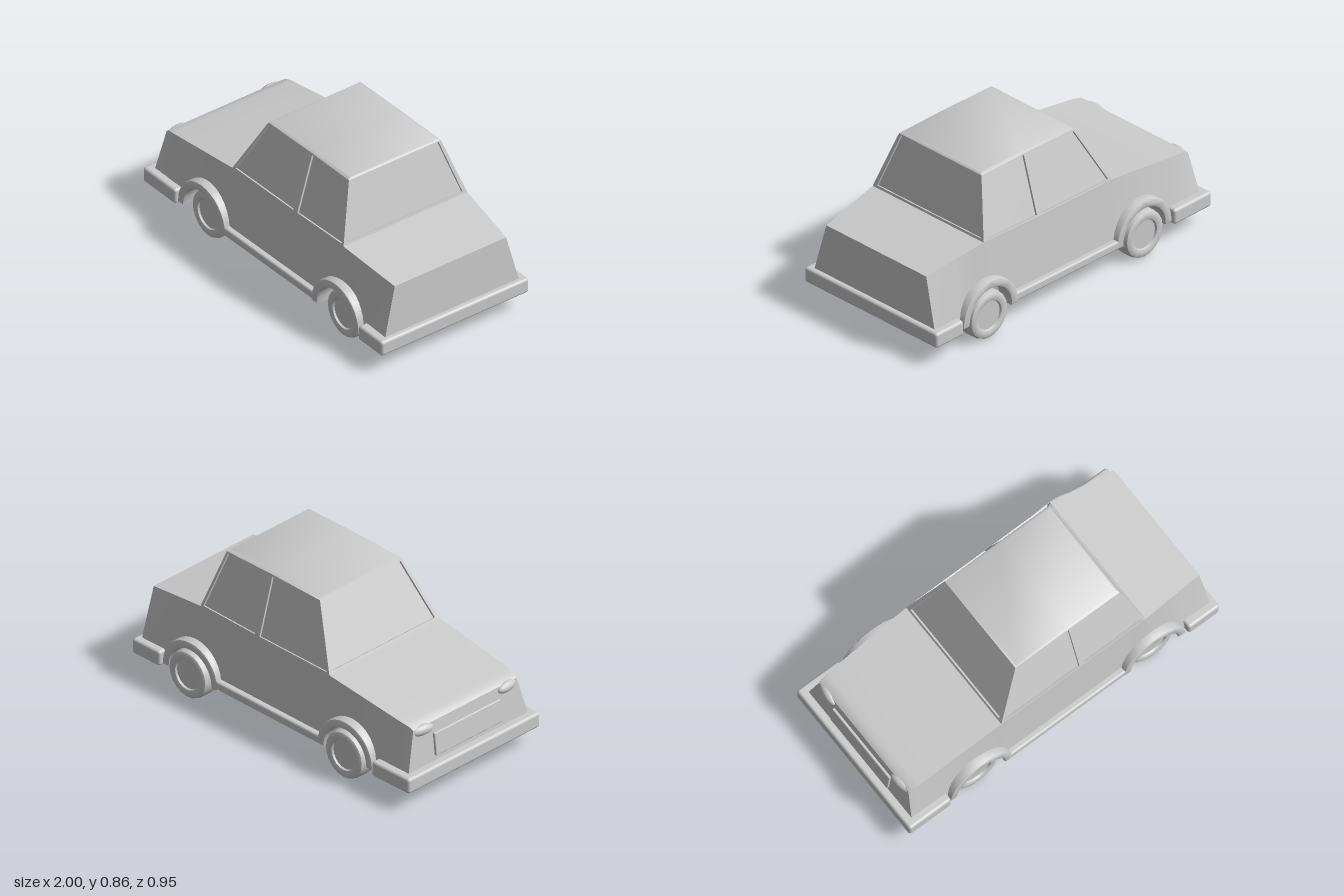
import * as THREE from 'three';
import { toCreasedNormals } from 'three/addons/utils/BufferGeometryUtils.js';
import { RoundedBoxGeometry } from 'three/addons/geometries/RoundedBoxGeometry.js';

const solid = new THREE.MeshStandardMaterial({ color: 0xcccccc });
const sheet = new THREE.MeshStandardMaterial({ color: 0xcccccc, side: THREE.DoubleSide });
const V = (x, y, z) => new THREE.Vector3(x, y, z);
const { lerp } = THREE.MathUtils;

function named(name, geometry, material = solid) {
  const mesh = new THREE.Mesh(geometry, material);
  mesh.name = name;
  return mesh;
}

// Sheet surface from quads, corners counter-clockwise seen from outside
function fromQuads(quads, crease = 0.45) {
  const pts = quads.flatMap(([a, b, c, d]) => [a, b, c, a, c, d]);
  const g = new THREE.BufferGeometry().setFromPoints(pts);
  g.computeVertexNormals();
  return toCreasedNormals(g, crease);
}

// Same quads on the other side of the car
const mirrorZ = (quads) => quads.map((q) => q.map((p) => V(p.x, p.y, -p.z)).reverse());

// Piecewise-linear lookup in [x, value] pairs
function along(table, x) {
  let i = 0;
  while (i < table.length - 2 && x > table[i + 1][0]) i++;
  const [x0, y0] = table[i], [x1, y1] = table[i + 1];
  return lerp(y0, y1, (x - x0) / (x1 - x0));
}

const WHEELS_X = [-0.522, 0.607];
const ARCHES_X = [-0.525, 0.592];
const topLine = [[-0.93, 0.412], [-0.91, 0.427], [-0.87, 0.436], [-0.35, 0.51], [0.17, 0.517], [0.58, 0.53], [0.957, 0.472]];
const topWidth = [[-0.93, 0.375], [-0.87, 0.385], [-0.35, 0.4], [0.58, 0.4], [0.957, 0.36]];

// Lower body: flanks with wheel cut-outs, bonnet, boot lid and end faces
function lowerBody() {
  const R = 0.165, cy = 0.135;
  const xs = topLine.map((p) => p[0]);
  for (const c of ARCHES_X) {
    for (let i = 0; i <= 10; i++) xs.push(c - R * Math.cos((i / 10) * Math.PI));
  }
  xs.sort((a, b) => a - b);
  const bottomY = (x) => {
    const c = ARCHES_X.find((a) => Math.abs(x - a) <= R);
    return c === undefined ? cy : cy + Math.sqrt(Math.max(0, R * R - (x - c) ** 2));
  };
  const column = (x) => {
    const y1 = along(topLine, x), z1 = along(topWidth, x), y0 = bottomY(x);
    const z0 = lerp(z1, 0.432, (y1 - y0) / (y1 - 0.19));
    const endShift = x < -0.92 ? -0.03 : x > 0.95 ? 0.015 : 0;
    return [V(x + endShift, y0, z0), V(x, y1, z1)];
  };
  const flip = (p) => V(p.x, p.y, -p.z);
  const cols = xs.map(column);
  const flank = [], decks = [];
  for (let i = 0; i < cols.length - 1; i++) {
    const [b0, t0] = cols[i], [b1, t1] = cols[i + 1];
    flank.push([b0, b1, t1, t0]);
    const midX = (t0.x + t1.x) / 2;
    if (midX < -0.35 || midX > 0.58) decks.push([t0, t1, flip(t1), flip(t0)]);
  }
  const [nb, nt] = cols[0], [rb, rt] = cols[cols.length - 1];
  const ends = [[flip(nb), nb, nt, flip(nt)], [rb, flip(rb), flip(rt), rt]];
  return fromQuads([...flank, ...mirrorZ(flank), ...decks, ...ends]);
}

// Frame with a recessed pane; win = [u0, u1, v0, v1] inside the quad
function windowPanel(bl, br, tr, tl, [u0, u1, v0, v1]) {
  const at = (u, v) => bl.clone().lerp(br, u).lerp(tl.clone().lerp(tr, u), v);
  const inward = br.clone().sub(bl).cross(tl.clone().sub(bl)).normalize().multiplyScalar(-0.012);
  const outer = [bl, br, tr, tl];
  const hole = [at(u0, v0), at(u1, v0), at(u1, v1), at(u0, v1)];
  const pane = hole.map((p) => p.clone().add(inward));
  const frame = [];
  for (let i = 0; i < 4; i++) {
    const j = (i + 1) % 4;
    frame.push([outer[i], outer[j], hole[j], hole[i]], [hole[i], hole[j], pane[j], pane[i]]);
  }
  return { frame, pane };
}

function cabin() {
  const group = new THREE.Group();
  group.name = 'cabin';
  // Belt and roof rim points on the +z side, front to back
  const belt = [V(-0.35, 0.51, 0.4), V(0.172, 0.517, 0.4), V(0.58, 0.53, 0.4)];
  const rim = [V(-0.18, 0.842, 0.297), V(0.172, 0.85, 0.297), V(0.492, 0.85, 0.297)];
  const crown = [V(-0.165, 0.849, 0.282), V(0.172, 0.86, 0.282), V(0.482, 0.859, 0.282)];
  const m = (p) => V(p.x, p.y, -p.z);
  const add = (name, { frame, pane }) => {
    group.add(named(name + 'Frame', fromQuads(frame, 0.2), sheet));
    group.add(named(name + 'Glass', fromQuads([pane], 0.2), sheet));
  };

  const sides = [
    ['frontDoorWindow', windowPanel(belt[0], belt[1], rim[1], rim[0], [0.035, 0.97, 0.025, 0.965])],
    ['rearDoorWindow', windowPanel(belt[1], belt[2], rim[2], rim[1], [0.045, 0.96, 0.025, 0.975])],
  ];
  for (const [name, panel] of sides) {
    add(name, panel);
    add(name, { frame: mirrorZ(panel.frame), pane: mirrorZ([panel.pane])[0] });
  }
  add('windscreen', windowPanel(m(belt[0]), belt[0], rim[0], m(rim[0]), [0.03, 0.97, 0.04, 0.97]));
  add('rearWindow', windowPanel(belt[2], m(belt[2]), m(rim[2]), rim[2], [0.03, 0.97, 0.04, 0.98]));

  // Roof with a narrow chamfer round its edge
  const edge = [], top = [];
  for (let i = 0; i < 2; i++) {
    edge.push([rim[i], rim[i + 1], crown[i + 1], crown[i]]);
    top.push([crown[i], crown[i + 1], m(crown[i + 1]), m(crown[i])]);
  }
  const caps = [
    [m(rim[0]), rim[0], crown[0], m(crown[0])],
    [rim[2], m(rim[2]), m(crown[2]), crown[2]],
  ];
  group.add(named('roof', fromQuads([...edge, ...mirrorZ(edge), ...top, ...caps], 0.8), sheet));
  return group;
}

// Flared half-ring over a wheel, facing +z
function archGeometry() {
  const shape = new THREE.Shape();
  shape.absarc(0, 0, 0.188, 0, Math.PI, false);
  shape.absarc(0, 0, 0.162, Math.PI, 0, true);
  const g = new THREE.ExtrudeGeometry(shape, {
    depth: 0.07, curveSegments: 8, bevelThickness: 0.012, bevelSize: 0.011, bevelSegments: 2,
  });
  return toCreasedNormals(g, 0.5);
}

// Tyre and hub as one turned profile, symmetric about its middle plane
function wheelGeometry() {
  const half = [[0, 0.045], [0.082, 0.045], [0.086, 0.056], [0.098, 0.06], [0.117, 0.06], [0.129, 0.053], [0.134, 0.038]];
  const profile = [...half.map(([r, h]) => [r, -h]), ...half.slice().reverse()];
  const g = new THREE.LatheGeometry(profile.map(([r, h]) => new THREE.Vector2(r, h)), 20);
  return toCreasedNormals(g.rotateX(Math.PI / 2), 0.7);
}

export function createModel() {
  const car = new THREE.Group();
  car.name = 'car';
  car.add(named('lowerBody', lowerBody(), sheet), cabin());

  // Wheels, arches and sills
  const wheel = wheelGeometry(), arch = archGeometry();
  for (const s of [1, -1]) {
    WHEELS_X.forEach((x, i) => {
      const w = named(i ? 'rearWheel' : 'frontWheel', wheel);
      w.position.set(x, 0.135, s > 0 ? 0.37 : -0.415);
      const a = named(i ? 'rearArch' : 'frontArch', arch);
      a.position.set(ARCHES_X[i], 0.135, s * 0.385);
      if (s < 0) a.rotation.y = Math.PI;
      car.add(w, a);
    });
    const sill = named('sill', new RoundedBoxGeometry(0.77, 0.05, 0.06, 2, 0.012));
    sill.position.set(0.035, 0.152, s * 0.436);
    sill.rotation.z = 0.012;

    // Headlamp set into the top corner of the nose
    const lamp = named('headlamp', new THREE.SphereGeometry(1, 20, 12));
    lamp.scale.set(0.028, 0.03, 0.072);
    lamp.position.set(-0.925, 0.39, s * 0.308);
    lamp.rotation.y = s * 0.15;
    car.add(sill, lamp);
  }

  // Bumpers
  for (const [name, x0, x1] of [['frontBumper', -1, -0.73], ['rearBumper', 0.8, 1]]) {
    const b = named(name, new RoundedBoxGeometry(x1 - x0, 0.088, 0.955, 3, 0.016));
    b.position.set((x0 + x1) / 2, 0.148, 0);
    car.add(b);
  }

  // Grille plate on the sloping nose
  const grille = named('grille', new RoundedBoxGeometry(0.018, 0.13, 0.48, 2, 0.006));
  grille.position.set(-0.949, 0.285, 0);
  grille.rotation.z = -0.108;
  car.add(grille);
  return car;
}
